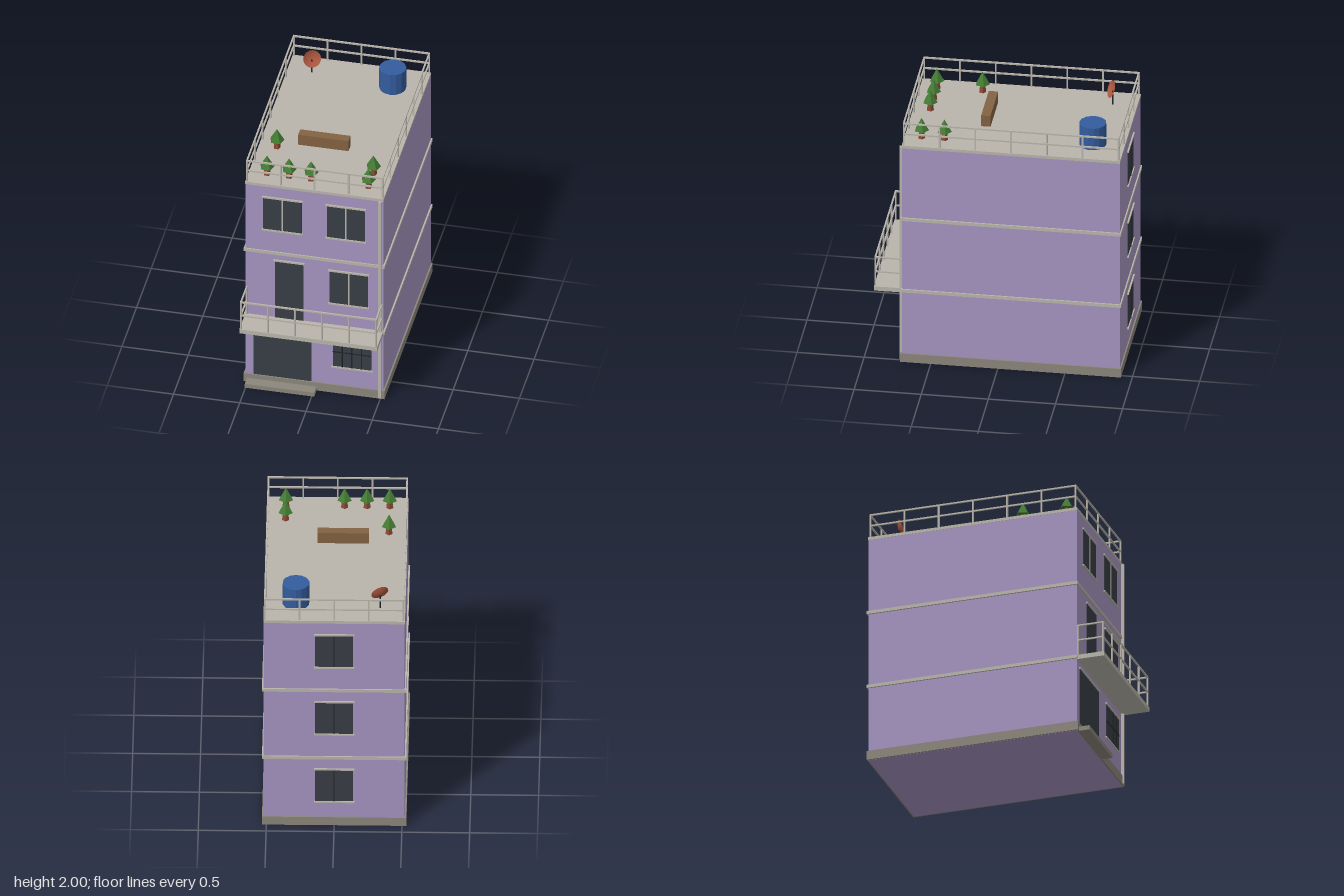
import * as THREE from 'three';

const mat = (name, color, extra = {}) => {
  const m = new THREE.MeshStandardMaterial({ color, ...extra });
  m.name = name;
  return m;
};

export function createModel() {
  const model = new THREE.Group();
  model.name = 'house';
  const wall = mat('lilac wall', 0xa594c0);
  const trim = mat('pale concrete', 0xb9b5ab);
  const stone = mat('plinth stone', 0x8b867c);
  const glass = mat('dark glass', 0x383d45);
  const dark = mat('dark metal', 0x202328);
  const wood = mat('bench wood', 0x826242);
  const leaf = mat('leaf green', 0x437c33, { flatShading: true });
  const bark = mat('bark', 0x8a4a33, { flatShading: true });
  const blue = mat('tank blue', 0x335c9e, { flatShading: true });
  const rust = mat('dish rust', 0xad573f, { side: THREE.DoubleSide });

  const add = (parent, name, geo, m, x = 0, y = 0, z = 0) => {
    const mesh = new THREE.Mesh(geo, m);
    mesh.name = name;
    mesh.position.set(x, y, z);
    parent.add(mesh);
    return mesh;
  };
  // Box given by its lower and upper limits on each axis
  const box = (parent, name, m, x0, x1, y0, y1, z0, z1) =>
    add(parent, name, new THREE.BoxGeometry(x1 - x0, y1 - y0, z1 - z0), m,
      (x0 + x1) / 2, (y0 + y1) / 2, (z0 + z1) / 2);
  const group = (name) => {
    const g = new THREE.Group();
    g.name = name;
    model.add(g);
    return g;
  };

  // Main body, floor bands, roof slab
  const FRONT = 0.715, BACK = -0.908;
  box(model, 'walls', wall, -0.52, 0.52, 0, 1.793, BACK, FRONT);
  box(model, 'plinth', stone, -0.532, 0.532, 0.001, 0.072, -0.918, 0.728);
  box(model, 'doorStep', stone, -0.505, 0.02, 0, 0.035, 0.725, 0.807);
  for (const y of [0.585, 1.185])
    box(model, 'floorBand', trim, -0.532, 0.532, y, y + 0.025, -0.918, 0.724);
  box(model, 'roofSlab', trim, -0.522, 0.522, 1.79, 1.813, -0.91, 0.717);
  box(model, 'balconySlab', trim, -0.52, 0.52, 0.578, 0.613, 0.71, 0.925);
  box(model, 'drainPipe', trim, 0.486, 0.508, 0.01, 1.793, 0.715, 0.737);

  // Opening on a wall: thin pane, lintel, optional sill and bars
  const opening = (name, x0, x1, y0, y1, { back = false, sill = true, bars = [], rail = null, barMat = trim } = {}) => {
    const g = group(name);
    const face = back ? BACK : FRONT;
    const plate = (part, m, a, b, c, d, depth) =>
      back ? box(g, part, m, a, b, c, d, face - depth, face + 0.004)
           : box(g, part, m, a, b, c, d, face - 0.004, face + depth);
    plate('pane', glass, x0, x1, y0, y1, 0.004);
    plate('lintel', trim, x0 - 0.01, x1 + 0.01, y1 - 0.002, y1 + 0.011, 0.012);
    if (sill) plate('sill', trim, x0 - 0.01, x1 + 0.01, y0 - 0.011, y0 + 0.002, 0.012);
    const w = barMat === trim ? 0.006 : 0.004;
    for (const x of bars) plate('bar', barMat, x - w, x + w, y0, y1, 0.008);
    if (rail !== null) plate('crossBar', barMat, x0, x1, rail - w, rail + w, 0.008);
  };
  opening('garageDoor', -0.457, -0.022, 0.072, 0.527, { sill: false });
  opening('groundWindow', 0.14, 0.43, 0.237, 0.503, { bars: [0.212, 0.284, 0.356], rail: 0.37, barMat: dark });
  opening('balconyDoor', -0.298, -0.082, 0.613, 1.127, { sill: false });
  opening('middleWindow', 0.115, 0.405, 0.81, 1.1, { bars: [0.26] });
  opening('upperWindowRight', -0.385, -0.095, 1.405, 1.692, { bars: [-0.24] });
  opening('upperWindowLeft', 0.095, 0.382, 1.405, 1.692, { bars: [0.238] });
  for (const y of [0.21, 0.81, 1.405])
    opening('backWindow', -0.14, 0.14, y, y + 0.28, { back: true, bars: [0], barMat: dark });

  // Straight run of railing with evenly spaced posts and two bars
  const R = 0.006;
  const railing = (parent, x0, z0, x1, z1, n, base, mid, top) => {
    for (let i = 0; i <= n; i++) {
      const x = x0 + (x1 - x0) * i / n, z = z0 + (z1 - z0) * i / n;
      box(parent, 'post', trim, x - R, x + R, base, top - R, z - R, z + R);
    }
    for (const y of [mid, top - R])
      box(parent, 'handrail', trim, Math.min(x0, x1) - R, Math.max(x0, x1) + R, y - R, y + R,
        Math.min(z0, z1) - R, Math.max(z0, z1) + R);
  };
  const roofRail = group('roofRailing');
  for (const z of [0.703, -0.896]) railing(roofRail, -0.511, z, 0.511, z, 4, 1.81, 1.907, 2);
  for (const x of [-0.511, 0.511]) railing(roofRail, x, 0.703, x, -0.896, 6, 1.81, 1.907, 2);
  const balconyRail = group('balconyRailing');
  railing(balconyRail, -0.51, 0.915, 0.51, 0.915, 5, 0.61, 0.735, 0.86);
  for (const x of [-0.51, 0.51]) railing(balconyRail, x, 0.915, x, 0.722, 1, 0.61, 0.735, 0.86);

  // Small five-sided trees
  const trees = [[-0.385, 0.25], [-0.385, 0.59], [-0.218, 0.59], [-0.052, 0.59], [0.38, 0.42], [0.38, 0.59]];
  for (const [x, z] of trees) {
    const t = group('tree');
    t.position.set(x, 1.813, z);
    t.rotation.y = Math.PI;
    add(t, 'trunk', new THREE.CylinderGeometry(0.018, 0.028, 0.08, 5), bark, 0, 0.04, 0);
    add(t, 'crown', new THREE.ConeGeometry(0.056, 0.1, 5), leaf, 0, 0.117, 0);
  }

  // Roof furniture
  box(model, 'bench', wood, -0.24, 0.14, 1.813, 1.903, 0.112, 0.182);
  add(model, 'waterTank', new THREE.CylinderGeometry(0.1, 0.1, 0.18, 14), blue, 0.285, 1.902, -0.672);

  // Shallow dish on a thin mast, opening toward the front and upward
  add(model, 'dishMast', new THREE.CylinderGeometry(0.006, 0.006, 0.115, 8), dark, -0.337, 1.868, -0.727);
  const profile = [];
  for (let i = 0; i <= 6; i++) profile.push(new THREE.Vector2(0.067 * i / 6, 0.02 * (i / 6) ** 2 - 0.01));
  const dish = add(model, 'dish', new THREE.LatheGeometry(profile, 20), rust, -0.337, 1.937, -0.725);
  dish.quaternion.setFromUnitVectors(new THREE.Vector3(0, 1, 0), new THREE.Vector3(0.37, 0.36, 0.86).normalize());

  return model;
}
